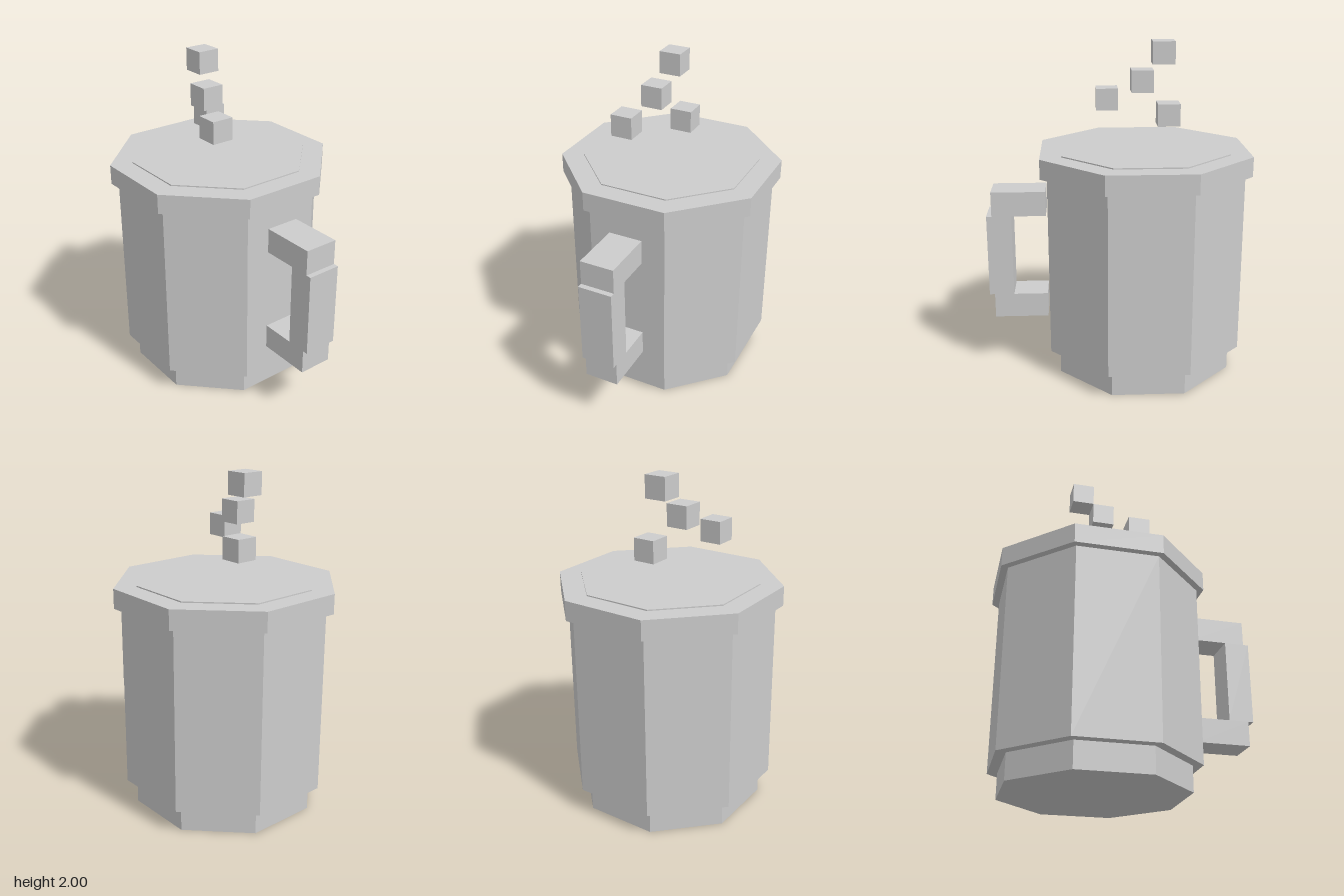
import * as THREE from 'three';

export function createModel() {
  const model = new THREE.Group();
  const grey = new THREE.MeshStandardMaterial({ color: 0xcccccc, flatShading: true });
  grey.name = 'light grey';

  const add = (parent, name, geometry, x, y, z) => {
    const mesh = new THREE.Mesh(geometry, grey);
    mesh.name = name;
    mesh.position.set(x, y, z);
    parent.add(mesh);
  };

  // Octagonal mug sections: distance to flat side, bottom, top
  const mug = new THREE.Group();
  mug.name = 'mug';
  mug.position.x = -0.168;
  model.add(mug);
  const sections = [
    ['base', 0.518, 0, 0.152],
    ['body', 0.575, 0.152, 1.248],
    ['rim', 0.615, 1.248, 1.365],
    ['drinkSurface', 0.492, 1.3, 1.372],
  ];
  for (const [name, apothem, y0, y1] of sections) {
    const r = apothem / Math.cos(Math.PI / 8);
    const geometry = new THREE.CylinderGeometry(r, r, y1 - y0, 8, 1, false, Math.PI / 8);
    add(mug, name, geometry, 0, (y0 + y1) / 2, 0);
  }

  // Handle: two arms joined by an upright grip
  const handle = new THREE.Group();
  handle.name = 'handle';
  model.add(handle);
  const arm = new THREE.BoxGeometry(0.325, 0.15, 0.205);
  add(handle, 'upperArm', arm, 0.586, 1.055, 0);
  add(handle, 'lowerArm', arm, 0.586, 0.403, 0);
  add(handle, 'grip', new THREE.BoxGeometry(0.15, 0.502, 0.205), 0.705, 0.729, 0);

  // Steam: small cubes floating above the mug
  const steam = new THREE.Group();
  steam.name = 'steam';
  model.add(steam);
  const cube = new THREE.BoxGeometry(0.132, 0.132, 0.132);
  const puffs = [
    [-0.309, 1.58, -0.025],
    [0.046, 1.64, 0.184],
    [-0.162, 1.76, 0.096],
    [-0.281, 1.934, 0.037],
  ];
  puffs.forEach(([x, y, z], i) => add(steam, `steamCube${i + 1}`, cube, x, y, z));

  return model;
}
